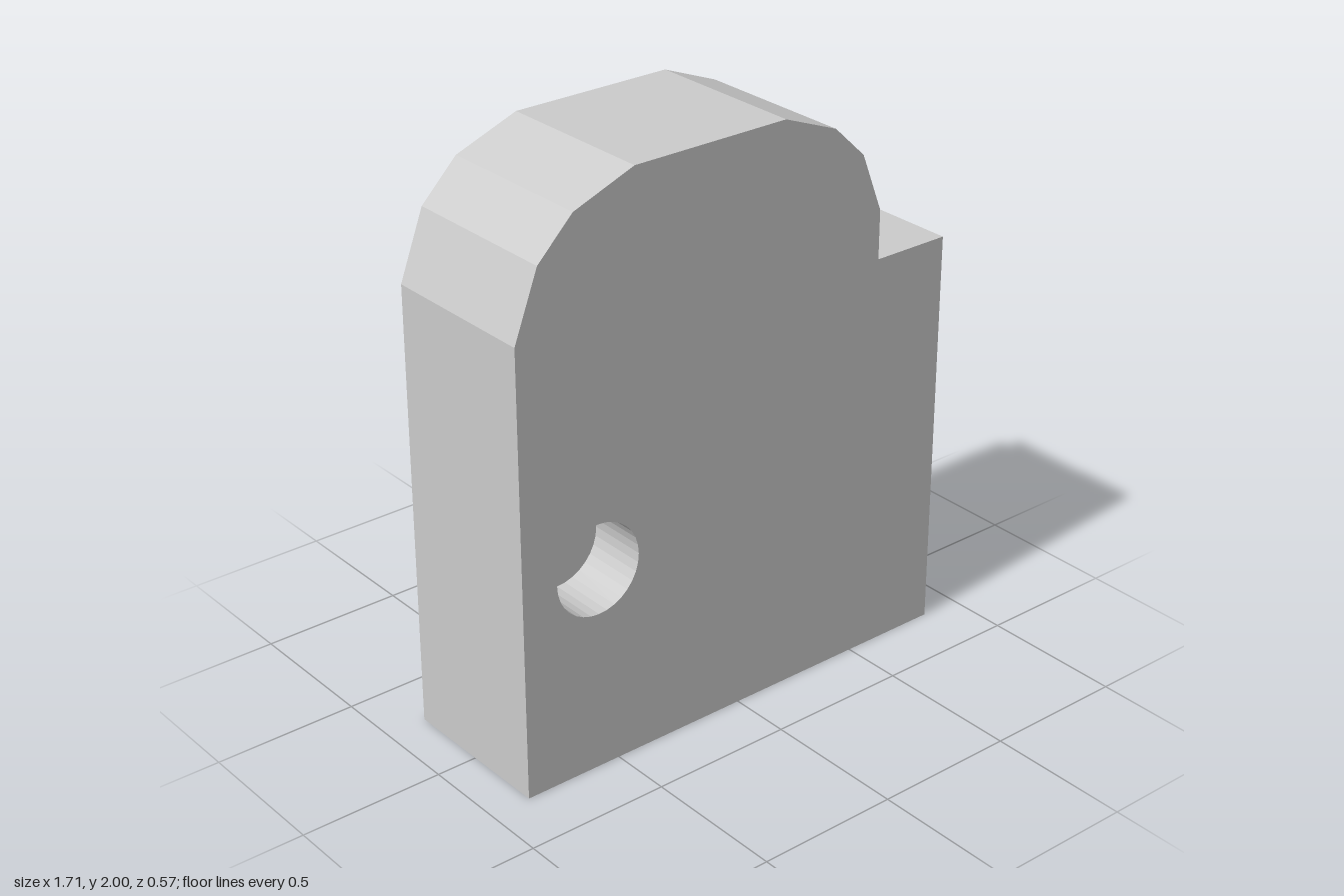
import * as THREE from 'three';

const HALF = 0.286;              // half the plate thickness
const HOLE = { x: -0.57, y: 0.717, r: 0.158, depth: 0.214, sides: 32 };

// Counter-clockwise silhouette: square foot, side step and faceted round top
const outline = [
  [-0.857, 0], [0.857, 0], [0.857, 1.43], [0.57, 1.43], [0.57, 1.6], [0.49, 1.805],
  [0.37, 1.92], [0.165, 2], [-0.415, 2], [-0.64, 1.915], [-0.77, 1.785], [-0.857, 1.555],
].map(([x, y]) => new THREE.Vector2(x, y));

// Flat-sided wall along a closed loop; a clockwise loop faces inward
function wall(loop, z0, z1) {
  const pos = [];
  loop.forEach((a, i) => {
    const b = loop[(i + 1) % loop.length];
    pos.push(a.x, a.y, z0, b.x, b.y, z0, b.x, b.y, z1);
    pos.push(a.x, a.y, z0, b.x, b.y, z1, a.x, a.y, z1);
  });
  const geometry = new THREE.BufferGeometry();
  geometry.setAttribute('position', new THREE.Float32BufferAttribute(pos, 3));
  geometry.computeVertexNormals();
  return geometry;
}

export function createModel() {
  const group = new THREE.Group();
  group.name = 'steppedPlate';
  const material = new THREE.MeshStandardMaterial({ color: 0xcccccc, flatShading: true });
  const add = (name, geometry) => {
    const mesh = new THREE.Mesh(geometry, material);
    mesh.name = name;
    group.add(mesh);
    return mesh;
  };

  // Clockwise rim of the blind hole
  const rim = Array.from({ length: HOLE.sides }, (_, i) => {
    const t = (-i / HOLE.sides) * Math.PI * 2;
    return new THREE.Vector2(HOLE.x + HOLE.r * Math.cos(t), HOLE.y + HOLE.r * Math.sin(t));
  });

  // Front face, pierced by the hole
  const frontShape = new THREE.Shape(outline);
  frontShape.holes.push(new THREE.Path(rim));
  add('frontFace', new THREE.ShapeGeometry(frontShape)).position.z = HALF;

  // Solid back face
  const back = add('backFace', new THREE.ShapeGeometry(
    new THREE.Shape(outline.map((p) => new THREE.Vector2(-p.x, p.y)).reverse())));
  back.rotation.y = Math.PI;
  back.position.z = -HALF;

  // Outer edge all around
  add('outerEdge', wall(outline, -HALF, HALF));

  // Blind hole: inward-facing wall and floor
  add('holeWall', wall(rim, HALF - HOLE.depth, HALF));
  const floor = add('holeFloor', new THREE.CircleGeometry(HOLE.r, HOLE.sides));
  floor.position.set(HOLE.x, HOLE.y, HALF - HOLE.depth);

  return group;
}
